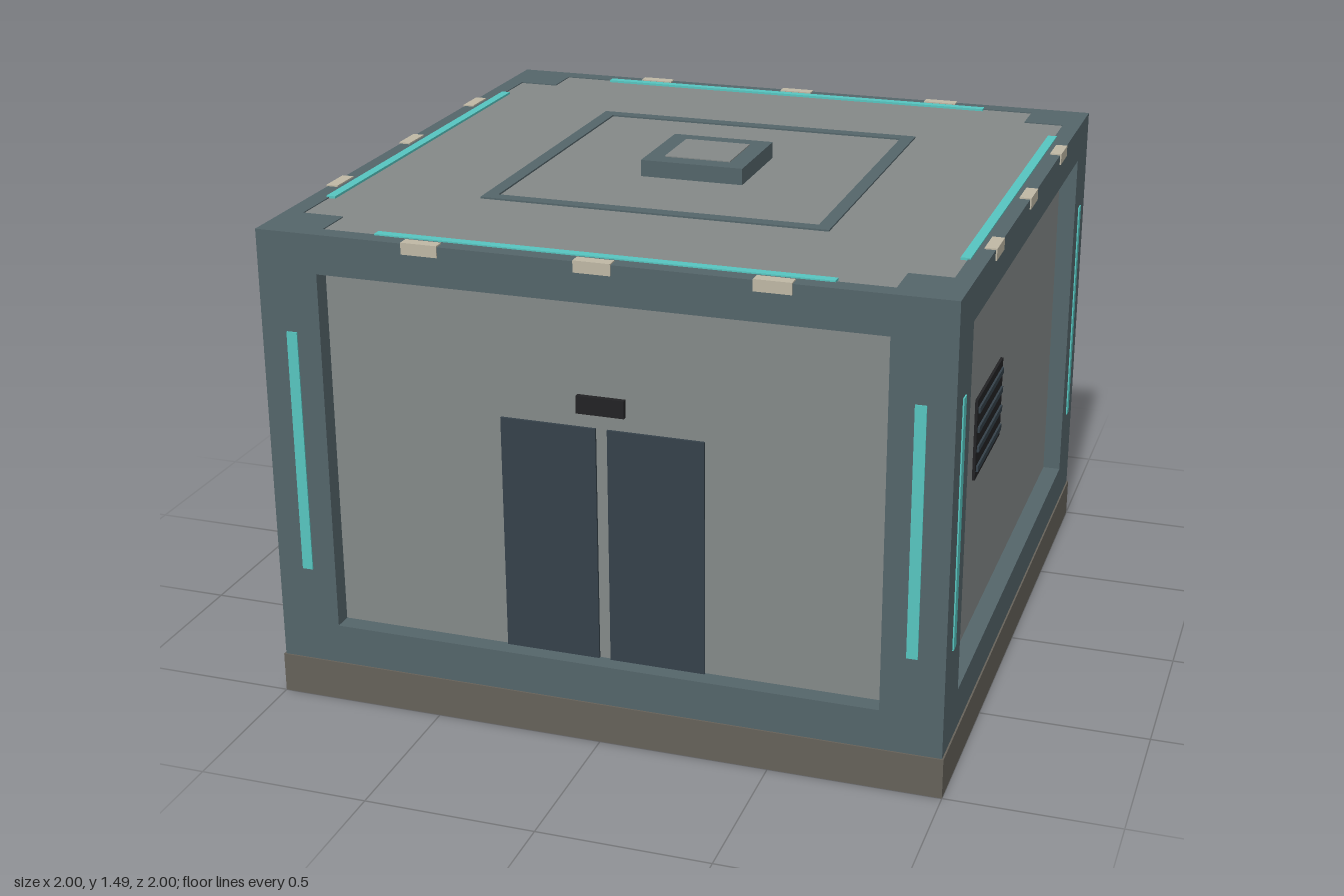
import * as THREE from 'three';

const mat = (name, color) => {
  const m = new THREE.MeshStandardMaterial({ color });
  m.name = name;
  return m;
};

export function createModel() {
  const frame = mat('slate frame', 0x54656a);
  const panel = mat('grey panel', 0x848988);
  const stone = mat('brown base', 0x656159);
  const dark = mat('dark door', 0x35414a);
  const black = mat('black', 0x222224);
  const beige = mat('beige clamp', 0xbfb8a5);
  const glow = mat('cyan light', 0x57c5c0);

  const model = new THREE.Group();
  model.name = 'building';

  // Box given by its lower and upper limits on each axis
  const box = (parent, name, material, [x0, x1], [y0, y1], [z0, z1]) => {
    const mesh = new THREE.Mesh(new THREE.BoxGeometry(x1 - x0, y1 - y0, z1 - z0), material);
    mesh.position.set((x0 + x1) / 2, (y0 + y1) / 2, (z0 + z1) / 2);
    mesh.name = name;
    parent.add(mesh);
    return mesh;
  };

  // Flat square ring lying on the roof
  const ring = (name, outer, inner, y, height) => {
    const square = (Type, r) => new Type([[-r, -r], [r, -r], [r, r], [-r, r]].map(p => new THREE.Vector2(...p)));
    const shape = square(THREE.Shape, outer);
    shape.holes.push(square(THREE.Path, inner));
    const geometry = new THREE.ExtrudeGeometry(shape, { depth: height, bevelEnabled: false });
    geometry.rotateX(-Math.PI / 2);
    const mesh = new THREE.Mesh(geometry, frame);
    mesh.position.y = y;
    mesh.name = name;
    model.add(mesh);
  };

  const F = 0.995;   // outer face of the frame
  const W = 0.94;    // outer face of the recessed walls
  const P = 0.815;   // inner edge of the corner posts
  const TOP = 1.44;

  // Base and roof slab
  box(model, 'base', stone, [-1, 1], [0, 0.12], [-1, 1]);
  box(model, 'roof', panel, [-W, W], [1.36, TOP - 0.003], [-W, W]);

  // Four identical sides: post, beams, wall, lights and clamps
  const sides = ['front', 'right', 'back', 'left'].map((name, k) => {
    const side = new THREE.Group();
    side.name = name + 'Side';
    side.rotation.y = k * Math.PI / 2;
    model.add(side);
    box(side, 'cornerPost', frame, [P, F], [0.12, TOP], [P, F]);
    box(side, 'topBeam', frame, [-P, P], [1.325, TOP], [W, F]);
    box(side, 'bottomBeam', frame, [-P, P], [0.12, 0.24], [W, F]);
    box(side, 'wall', panel, [-P, P], [0.12, 1.36], [0.88, W]);
    for (const s of [-1, 1]) {
      box(side, 'wallLight', glow, [s * 0.902 - 0.016, s * 0.902 + 0.016], [0.413, 1.147], [F - 0.004, F + 0.004]);
    }
    box(side, 'roofLight', glow, [-0.655, 0.655], [TOP - 0.005, TOP + 0.004], [0.92, 0.948]);
    for (const x of [-0.5, 0, 0.5]) {
      box(side, 'clamp', beige, [x - 0.053, x + 0.053], [1.41, TOP + 0.004], [0.964, F + 0.004]);
    }
    return side;
  });

  // Double door and sign on the front
  const [front, right] = sides;
  box(front, 'doorLeaf', dark, [-0.298, -0.017], [0.24, 0.945], [W, W + 0.008]);
  box(front, 'doorLeaf', dark, [0.017, 0.298], [0.24, 0.945], [W, W + 0.008]);
  box(front, 'doorSign', black, [-0.07, 0.07], [0.988, 1.04], [W, W + 0.015]);

  // Slatted vent on the right wall
  box(right, 'vent', black, [-0.462, -0.098], [0.72, 0.965], [W, W + 0.008]);
  for (let i = 0; i < 4; i++) {
    const y = 0.751 + i * 0.06;
    box(right, 'ventSlat', dark, [-0.45, -0.11], [y - 0.009, y + 0.009], [W + 0.008, W + 0.014]);
  }

  // Roof stripe and hatch
  ring('roofStripe', 0.522, 0.482, TOP - 0.003, 0.005);
  box(model, 'hatch', frame, [-0.158, 0.158], [TOP - 0.01, 1.487], [-0.158, 0.158]);
  box(model, 'hatchPlate', panel, [-0.102, 0.102], [1.485, 1.49], [-0.102, 0.102]);

  return model;
}
